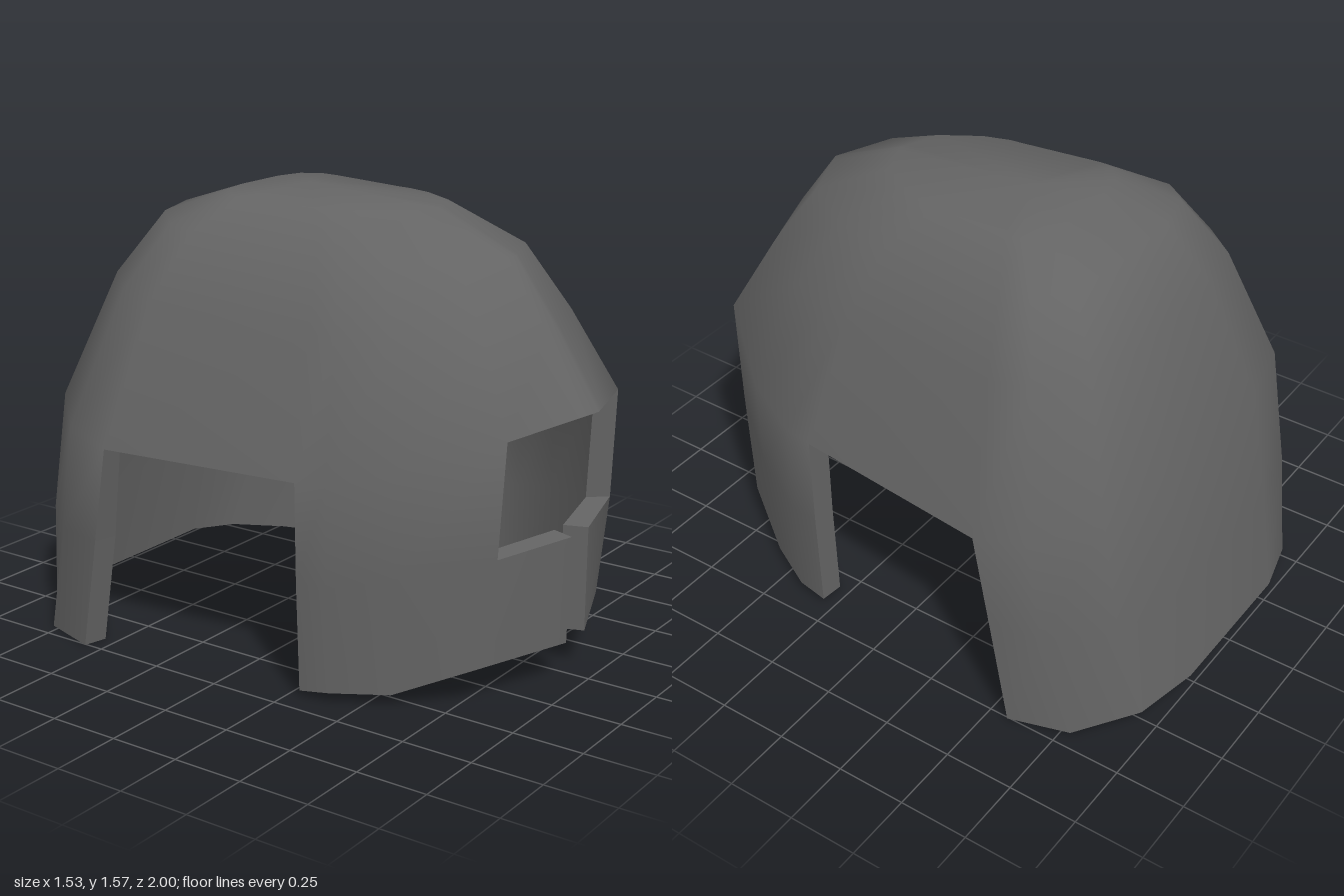
import * as THREE from 'three';

// Half outlines [x, y, z], from front centre round the left (+x) side to the back
const BOTTOM = [[0, .14, .97], [.42, .13, .8], [.56, .04, .58], [.655, .035, .4], [.665, .02, .29],
  [.755, 0, -.57], [.69, 0, -.78], [.5, .03, -.94], [.28, .055, -1]];
const CHIN = [[0, .51, .965], [.38, .51, .86], [.58, .45, .6], [.67, .4, .4], [.68, .4, .29],
  [.76, .4, -.5], [.725, .4, -.68], [.56, .4, -.87], [.28, .42, -.945]];
const RIM = [[0, .93, 1], [.37, .9, .88], [.59, .8, .6], [.67, .745, .4], [.685, .74, .29],
  [.765, .74, -.44], [.73, .78, -.62], [.56, .83, -.8], [.28, .86, -.868]];
const CROWN_Z = -.14;
const COLS = 20;
const THICKNESS = .085;

// A dome level: the rim drawn in towards the crown, rising from front to back
function domeLevel({ width, front, back, yFront, yBack }) {
  return RIM.map(([x, , z]) => {
    const depth = z > CROWN_Z ? front : back;
    const t = (1 - z) / 1.868;
    return [x * width, THREE.MathUtils.lerp(yFront, yBack, t ** 3), CROWN_Z + (z - CROWN_Z) * depth];
  });
}

// Closes a half outline into a mirrored ring, adding the chin slot and back centre columns
function ring(half) {
  const points = half.map(p => new THREE.Vector3(...p));
  points.splice(1, 0, points[0].clone().lerp(points[1], .15));
  points.push(points.at(-1).clone().setX(0));
  const mirrored = points.slice(1, -1).reverse().map(p => new THREE.Vector3(-p.x, p.y, p.z));
  return [...points, ...mirrored];
}

const wrap = j => (j + COLS) % COLS;

// Which part fills a grid cell; null leaves the face, chin and side openings
function partAt(r, j) {
  if (r < 0) return null;
  if (r >= 2) return 'dome';
  const k = j < COLS / 2 ? j : COLS - 1 - j;
  if (k >= 6) return 'neckGuard';
  if (k === 5 || k === 0 || (k === 1 && r === 1)) return null;
  return j < COLS / 2 ? 'leftCheekGuard' : 'rightCheekGuard';
}

const corners = ({ r, j }) => [[r, j], [r, wrap(j + 1)], [r + 1, wrap(j + 1)], [r + 1, j]];

const quadNormal = ([a, b, c, d]) =>
  new THREE.Vector3().crossVectors(c.clone().sub(a), d.clone().sub(b));

export function createModel() {
  const group = new THREE.Group();
  group.name = 'helmet';
  const darkGrey = new THREE.MeshStandardMaterial({ color: 0x646464 });
  darkGrey.name = 'darkGrey';

  const outer = [
    BOTTOM, CHIN, RIM,
    domeLevel({ width: .765, front: .86, back: .78, yFront: 1.18, yBack: 1.27 }),
    domeLevel({ width: .575, front: .72, back: .58, yFront: 1.4, yBack: 1.48 }),
    domeLevel({ width: .37, front: .465, back: .295, yFront: 1.53, yBack: 1.55 }),
    RIM.map(() => [0, 1.565, CROWN_Z]),
  ].map(ring);
  const top = outer.length - 1;

  const cells = [];
  for (let r = 0; r < top; r++) {
    for (let j = 0; j < COLS; j++) {
      const part = partAt(r, j);
      if (part) cells.push({ r, j, part });
    }
  }

  // Shared smooth normals, so the parts blend into one another
  const normals = outer.map(row => row.map(() => new THREE.Vector3()));
  for (const cell of cells) {
    const c = corners(cell);
    const n = quadNormal(c.map(([r, j]) => outer[r][j]));
    for (const [r, j] of c) normals[r][j].add(n);
  }
  normals[top].forEach(n => n.set(0, 1, 0));
  normals.flat().forEach(n => n.normalize());

  // Inner skin: level inset on the walls, along the normal in the dome
  const inner = outer.map((row, r) => row.map((p, j) => {
    const n = normals[r][j].clone();
    if (r < 3) n.setY(0).normalize();
    return p.clone().addScaledVector(n, -THICKNESS);
  }));

  for (const name of ['dome', 'leftCheekGuard', 'rightCheekGuard', 'neckGuard']) {
    const position = [];
    const normal = [];
    const quad = (points, ns) => {
      for (const i of [0, 1, 2, 0, 2, 3]) {
        position.push(...points[i].toArray());
        normal.push(...ns[i].toArray());
      }
    };
    for (const cell of cells.filter(c => c.part === name)) {
      const c = corners(cell);
      const ns = c.map(([r, j]) => normals[r][j]);
      quad(c.map(([r, j]) => outer[r][j]), ns);
      quad(c.map(([r, j]) => inner[r][j]).reverse(), ns.map(n => n.clone().negate()).reverse());

      // Flat edge walls wherever the neighbouring cell is open
      const { r, j } = cell;
      const neighbours = [[r - 1, j], [r, wrap(j + 1)], [r + 1, j], [r, wrap(j - 1)]];
      neighbours.forEach(([nr, nj], i) => {
        if (partAt(nr, nj)) return;
        const [pr, pj] = c[i];
        const [qr, qj] = c[(i + 1) % 4];
        const wall = [outer[qr][qj], outer[pr][pj], inner[pr][pj], inner[qr][qj]];
        quad(wall, Array(4).fill(quadNormal(wall).normalize()));
      });
    }
    const geometry = new THREE.BufferGeometry();
    geometry.setAttribute('position', new THREE.Float32BufferAttribute(position, 3));
    geometry.setAttribute('normal', new THREE.Float32BufferAttribute(normal, 3));
    const mesh = new THREE.Mesh(geometry, darkGrey);
    mesh.name = name;
    group.add(mesh);
  }
  return group;
}
